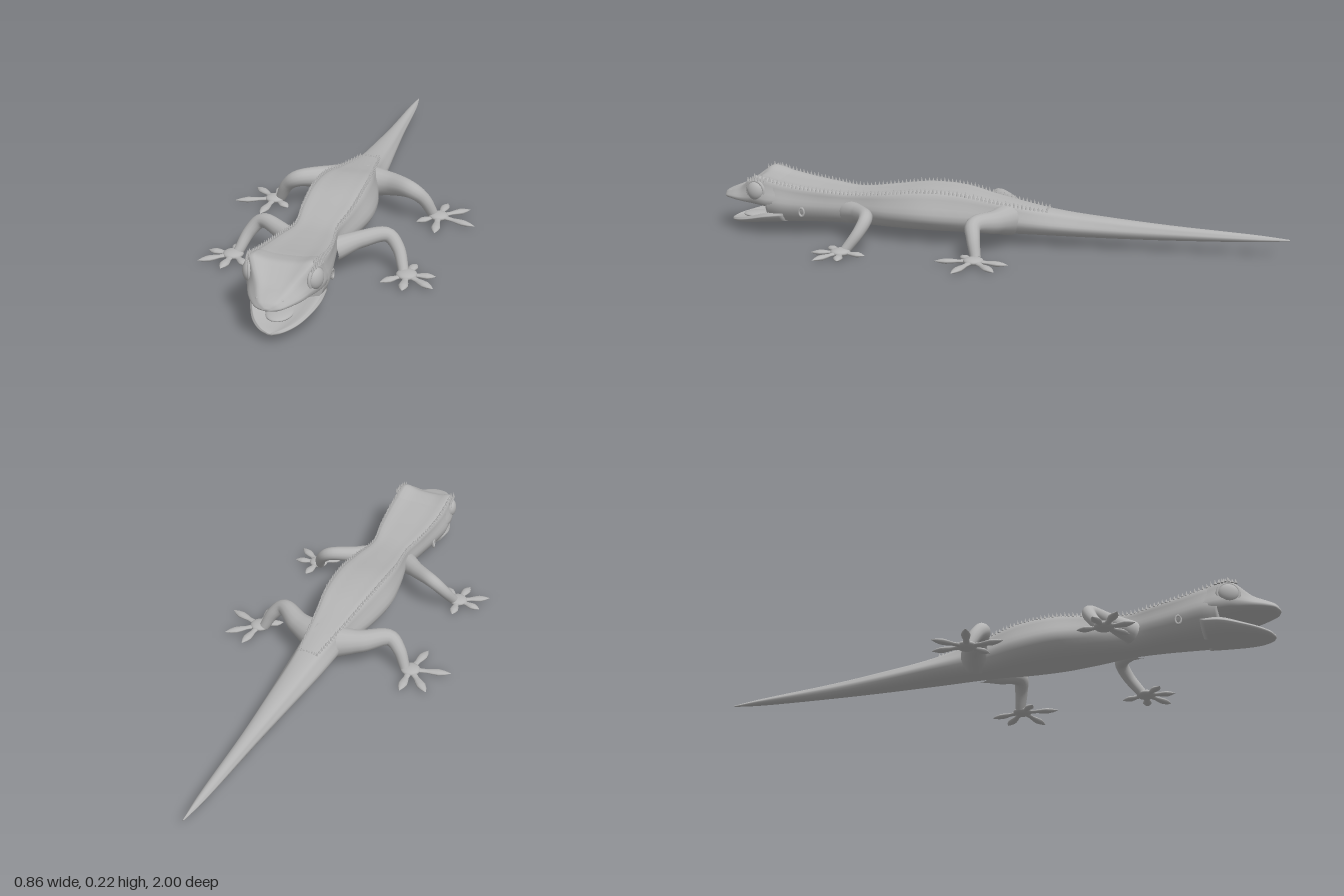
import * as THREE from 'three';
import { mergeGeometries, mergeVertices } from 'three/addons/utils/BufferGeometryUtils.js';

const V = (x, y, z) => new THREE.Vector3(x, y, z);
const skin = new THREE.MeshStandardMaterial({ color: 0xb4b4b4 });
skin.name = 'grey skin';

function add(parent, name, geometry) {
  const mesh = new THREE.Mesh(geometry, skin);
  mesh.name = name;
  parent.add(mesh);
  return mesh;
}

// Closed cross-section: half width w at height mid, crest half width c at height top,
// and a middle line that sits `dip` below the crests.
function ring([z, w, c, top, dip, mid, bot]) {
  const low = bot + (mid - bot) * 0.25;
  const half = [[w * 0.68, low], [w, mid], [(w + c) / 2, mid + (top - mid) * 0.6], [c, top], [c * 0.5, top - dip * 0.8]];
  const pts = [V(0, bot, z), ...half.map(p => V(p[0], p[1], z)), V(0, top - dip, z),
    ...half.slice().reverse().map(p => V(-p[0], p[1], z))];
  return new THREE.CatmullRomCurve3(pts, true).getPoints(36).slice(0, 36);
}

// Smooth skin through cross-sections listed from back to front
function loft(sections, steps = 5) {
  const rings = sections.map(ring), n = 36, rows = (rings.length - 1) * steps;
  const lines = rings[0].map((_, j) => new THREE.CatmullRomCurve3(rings.map(r => r[j])));
  const pos = [], idx = [];
  for (let i = 0; i <= rows; i++) lines.forEach(l => pos.push(...l.getPoint(i / rows).toArray()));
  for (let i = 0; i < rows; i++) for (let j = 0; j < n; j++) {
    const a = i * n + j, b = i * n + (j + 1) % n;
    idx.push(a, b, b + n, a, b + n, a + n);
  }
  for (const i of [0, rows]) {
    const center = pos.length / 3, m = V(0, 0, 0);
    lines.forEach(l => m.addScaledVector(l.getPoint(i / rows), 1 / n));
    pos.push(...m.toArray());
    for (let j = 0; j < n; j++) {
      const a = i * n + j, b = i * n + (j + 1) % n;
      if (i) idx.push(center, a, b); else idx.push(center, b, a);
    }
  }
  const g = new THREE.BufferGeometry();
  g.setAttribute('position', new THREE.Float32BufferAttribute(pos, 3));
  g.setIndex(idx);
  g.computeVertexNormals();
  return g;
}

// Tube with a radius that varies along its path, optionally flattened in y
function limb(points, radii, flat = 1, rows = 20, sides = 14) {
  const path = new THREE.CatmullRomCurve3(points);
  let g = new THREE.TubeGeometry(path, rows, 1, sides, false);
  const p = g.attributes.position, v = V(0, 0, 0);
  for (let i = 0; i <= rows; i++) {
    const c = path.getPointAt(i / rows), f = i / rows * (radii.length - 1);
    const k = Math.min(Math.floor(f), radii.length - 2);
    const r = THREE.MathUtils.lerp(radii[k], radii[k + 1], f - k);
    for (let j = 0; j <= sides; j++) {
      const q = i * (sides + 1) + j;
      v.fromBufferAttribute(p, q).sub(c).multiplyScalar(r);
      v.y *= flat;
      v.add(c);
      p.setXYZ(q, v.x, v.y, v.z);
    }
  }
  g.deleteAttribute('uv');
  g.deleteAttribute('normal');
  g = mergeVertices(g, 1e-5);
  g.computeVertexNormals();
  return g;
}

function ellipsoid(parent, name, x, y, z, rx, ry, rz) {
  const g = new THREE.SphereGeometry(1, 24, 16).scale(rx, ry, rz);
  add(parent, name, g).position.set(x, y, z);
}

// z, half width, crest half width, crest height, dip, mid height, bottom
const BODY = [
  [-1, 0.002, 0.001, 0.062, -0.001, 0.06, 0.058],
  [-0.9, 0.014, 0.009, 0.068, -0.004, 0.06, 0.05],
  [-0.6, 0.03, 0.02, 0.082, -0.007, 0.062, 0.038],
  [-0.4, 0.046, 0.03, 0.096, -0.008, 0.066, 0.035],
  [-0.2, 0.064, 0.038, 0.117, -0.006, 0.074, 0.035],
  [0, 0.078, 0.06, 0.152, -0.004, 0.085, 0.034],
  [0.12, 0.107, 0.078, 0.177, -0.004, 0.09, 0.034],
  [0.25, 0.12, 0.085, 0.182, -0.004, 0.095, 0.035],
  [0.38, 0.1, 0.08, 0.168, -0.002, 0.095, 0.036],
  [0.5, 0.076, 0.068, 0.157, -0.002, 0.098, 0.038],
  [0.6, 0.09, 0.085, 0.165, 0, 0.1, 0.04],
  [0.7, 0.108, 0.097, 0.178, 0.001, 0.105, 0.038],
  [0.77, 0.118, 0.1, 0.192, 0.004, 0.11, 0.036],
  [0.81, 0.113, 0.097, 0.2, 0.008, 0.11, 0.038],
];
const UPPER_HEAD = [
  [0.76, 0.115, 0.098, 0.188, 0.004, 0.12, 0.09],
  [0.81, 0.118, 0.1, 0.205, 0.009, 0.12, 0.092],
  [0.85, 0.11, 0.097, 0.212, 0.013, 0.123, 0.097],
  [0.88, 0.098, 0.08, 0.193, 0.01, 0.122, 0.101],
  [0.92, 0.083, 0.053, 0.163, 0.002, 0.122, 0.104],
  [0.96, 0.061, 0.038, 0.147, -0.002, 0.122, 0.108],
  [0.988, 0.038, 0.024, 0.136, -0.002, 0.121, 0.112],
  [1, 0.01, 0.006, 0.124, -0.001, 0.12, 0.117],
];
const LOWER_JAW = [
  [0.75, 0.108, 0.102, 0.09, 0.01, 0.075, 0.038],
  [0.82, 0.108, 0.1, 0.08, 0.016, 0.066, 0.034],
  [0.88, 0.091, 0.084, 0.062, 0.014, 0.052, 0.028],
  [0.93, 0.067, 0.06, 0.049, 0.009, 0.041, 0.024],
  [0.965, 0.035, 0.029, 0.04, 0.004, 0.034, 0.024],
  [0.977, 0.008, 0.006, 0.034, 0.001, 0.031, 0.027],
];
const FRONT_LEG = {
  name: 'front', path: [[0.06, 0.092, 0.515], [0.135, 0.108, 0.455], [0.21, 0.112, 0.412], [0.248, 0.075, 0.425], [0.275, 0.018, 0.465]],
  radii: [0.04, 0.029, 0.025, 0.021, 0.017], palm: [0.288, 0.478],
  toes: [[0.3, 0.39], [0.378, 0.462], [0.386, 0.545], [0.296, 0.58], [0.217, 0.542]],
};
const HIND_LEG = {
  name: 'hind', path: [[0.03, 0.09, -0.045], [0.12, 0.1, -0.015], [0.205, 0.107, 0.038], [0.245, 0.075, 0.03], [0.275, 0.018, 0.015]],
  radii: [0.058, 0.042, 0.033, 0.024, 0.018], palm: [0.295, 0.018],
  toes: [[0.305, -0.1], [0.39, -0.07], [0.428, 0.062], [0.308, 0.148], [0.23, 0.075]],
};

function makeLeg(spec, s) {
  const leg = new THREE.Group();
  leg.name = spec.name + (s > 0 ? 'LeftLeg' : 'RightLeg');
  add(leg, 'limb', limb(spec.path.map(p => V(p[0] * s, p[1], p[2])), spec.radii, 1, 28));
  const [px, pz] = spec.palm;
  ellipsoid(leg, 'palm', px * s, 0.014, pz, 0.034, 0.013, 0.034);
  // Toes widen into leaf-shaped pads
  spec.toes.forEach(([x, z]) => {
    const at = t => V((px + (x - px) * t) * s, 0.013 - 0.004 * t, pz + (z - pz) * t);
    add(leg, 'toe', limb([at(0.1), at(0.55), at(1)], [0.012, 0.011, 0.01, 0.014, 0.016, 0.011, 0.001], 0.52, 18, 10));
  });
  return leg;
}

// Rows of little spikes along both crests and across the rump
function makeSpikes() {
  const cones = [];
  const row = (curve, count, h) => curve.getSpacedPoints(count).forEach((p, i) => {
    const k = h * (i % 2 ? 0.8 : 1);
    cones.push(new THREE.ConeGeometry(0.0055, k, 6).translate(p.x, p.y + k * 0.3, p.z));
  });
  const edge = [V(0.034, 0.121, -0.18), ...BODY.slice(5, 13).map(b => V(b[2], b[3], b[0])), V(0.1, 0.203, 0.81), V(0.098, 0.21, 0.85)];
  for (const s of [1, -1]) {
    row(new THREE.CatmullRomCurve3(edge.map(p => V(p.x * s, p.y, p.z))), 74, 0.019);
    // Lashes above the eye
    row(new THREE.CatmullRomCurve3([V(0.112 * s, 0.198, 0.81), V(0.108 * s, 0.203, 0.845), V(0.1 * s, 0.197, 0.875)]), 6, 0.018);
  }
  row(new THREE.LineCurve3(V(-0.034, 0.122, -0.18), V(0.034, 0.122, -0.18)), 7, 0.018);
  return mergeGeometries(cones);
}

export function createModel() {
  const model = new THREE.Group();
  model.name = 'lizard';
  add(model, 'bodyAndTail', loft(BODY));
  add(model, 'upperHead', loft(UPPER_HEAD));
  add(model, 'lowerJaw', loft(LOWER_JAW));
  ellipsoid(model, 'tongue', 0, 0.05, 0.875, 0.042, 0.011, 0.06);
  add(model, 'crestSpikes', makeSpikes());
  for (const s of [1, -1]) {
    // Eye with a rolled lid, turned slightly forward
    const eye = new THREE.Group();
    eye.name = s > 0 ? 'leftEye' : 'rightEye';
    ellipsoid(eye, 'eyeball', 0, 0, 0, 0.034, 0.034, 0.022);
    add(eye, 'eyelid', new THREE.TorusGeometry(0.035, 0.006, 10, 32));
    eye.position.set(0.1 * s, 0.16, 0.848);
    eye.rotation.y = s * 1.3;
    model.add(eye);
    // Ear rim and nostril
    const ear = add(model, 'earRim', new THREE.TorusGeometry(0.012, 0.004, 8, 20).scale(0.8, 1.2, 1));
    ear.position.set(0.103 * s, 0.092, 0.68);
    ear.rotation.y = s * 1.45;
    ellipsoid(model, 'nostril', 0.036 * s, 0.138, 0.967, 0.006, 0.005, 0.006);
    for (const spec of [FRONT_LEG, HIND_LEG]) model.add(makeLeg(spec, s));
  }
  return model;
}
